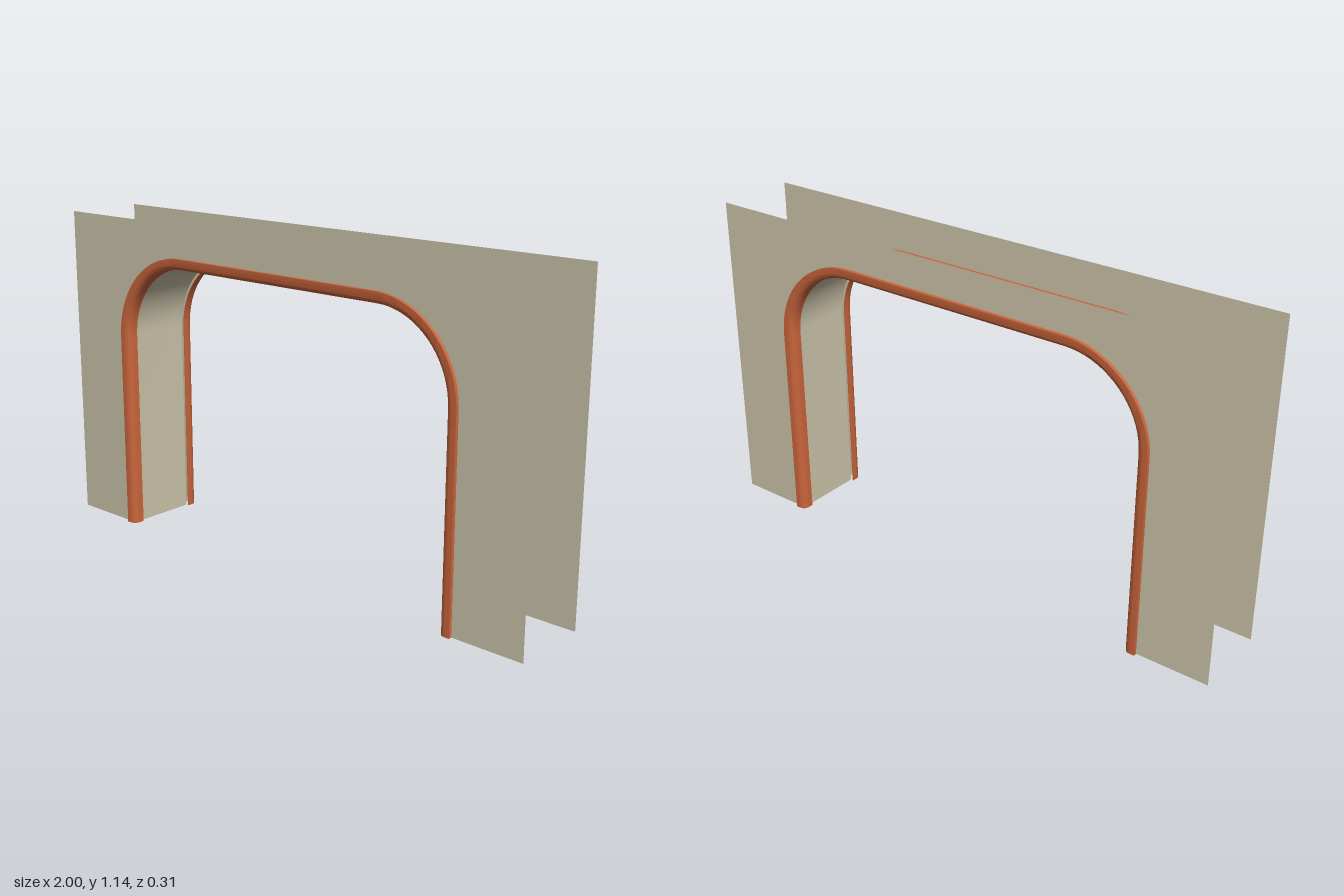
import * as THREE from 'three';
import { toCreasedNormals } from 'three/addons/utils/BufferGeometryUtils.js';

// Opening: half width, height, corner radius
const HALF = 0.715, TOP = 1.0, R = 0.285, STEPS = 18;
const WALL_Z = 0.144, WALL_TOP = 1.143;

// Stations along the opening from the left foot over to the right foot,
// each with a position and an outward normal
function openingPath() {
  const path = [{ x: HALF, y: 0, nx: 1, ny: 0 }];
  for (const side of [1, -1]) {
    for (let i = 0; i <= STEPS; i++) {
      const f = i / STEPS * Math.PI / 2;
      const a = side > 0 ? f : Math.PI / 2 + f;
      const nx = Math.cos(a), ny = Math.sin(a);
      path.push({ x: side * (HALF - R) + R * nx, y: TOP - R + R * ny, nx, ny });
    }
  }
  path.push({ x: -HALF, y: 0, nx: -1, ny: 0 });
  return path;
}

// Sweep a profile of [z, outward offset] points along the opening
function sweep(profile, closed) {
  const path = openingPath(), n = profile.length, pos = [], idx = [];
  for (const s of path) {
    for (const [z, off] of profile) pos.push(s.x + s.nx * off, s.y + s.ny * off, z);
  }
  for (let j = 0; j < path.length - 1; j++) {
    for (let i = 0; i < (closed ? n : n - 1); i++) {
      const k = (i + 1) % n;
      const a = j * n + i, b = j * n + k, c = a + n, d = b + n;
      idx.push(a, b, d, a, d, c);
    }
  }
  if (closed) {
    const last = (path.length - 1) * n;
    const faces = THREE.ShapeUtils.triangulateShape(profile.map(p => new THREE.Vector2(...p)), []);
    for (const [a, b, c] of faces) idx.push(a, c, b, last + a, last + b, last + c);
  }
  const g = new THREE.BufferGeometry();
  g.setAttribute('position', new THREE.Float32BufferAttribute(pos, 3));
  g.setIndex(idx);
  return toCreasedNormals(g, 0.6);
}

// Bent trim section: flat flange on the wall, rounded return into the opening
function trimProfile() {
  const pts = [[0.115, -0.012]];
  const arc = (r, from, to) => {
    for (let i = 0; i <= 6; i++) {
      const a = from + (to - from) * i / 6;
      pts.push([0.135 + r * Math.cos(a), 0.01 + r * Math.sin(a)]);
    }
  };
  arc(0.022, -Math.PI / 2, 0);
  pts.push([0.157, 0.028], [0.145, 0.028]);
  arc(0.0101, 0, -Math.PI / 2);
  // Thin the return towards its inner edge
  pts.push([0.115, -0.009]);
  return pts;
}

export function createModel() {
  const plaster = new THREE.MeshStandardMaterial({ color: 0xcdc5ab, side: THREE.DoubleSide });
  plaster.name = 'plaster';
  const terracotta = new THREE.MeshStandardMaterial({ color: 0xcc663c, side: THREE.DoubleSide });
  terracotta.name = 'terracotta';

  const model = new THREE.Group();
  model.name = 'archway';
  const add = (name, geometry, material) => {
    const mesh = new THREE.Mesh(geometry, material);
    mesh.name = name;
    model.add(mesh);
    return mesh;
  };

  // Wall sheet with the opening cut up from its foot
  const wall = new THREE.Shape();
  wall.moveTo(HALF, 0);
  wall.lineTo(1, 0);
  wall.lineTo(1, WALL_TOP);
  wall.lineTo(-1, WALL_TOP);
  wall.lineTo(-1, 0);
  for (const s of openingPath().reverse()) wall.lineTo(s.x, s.y);
  const wallGeometry = new THREE.ShapeGeometry(wall);
  const trimGeometry = sweep(trimProfile(), true);

  // Front and back walls with their trim
  for (const [name, turn] of [['front', 0], ['back', Math.PI]]) {
    const panel = add(name + 'Wall', wallGeometry, plaster);
    panel.position.z = turn ? -WALL_Z : WALL_Z;
    panel.rotation.y = turn;
    add(name + 'Trim', trimGeometry, terracotta).rotation.y = turn;
  }

  // Lining of the opening between the two trims
  add('lining', sweep([[-0.115, 0], [0.115, 0]], false), plaster);
  return model;
}
